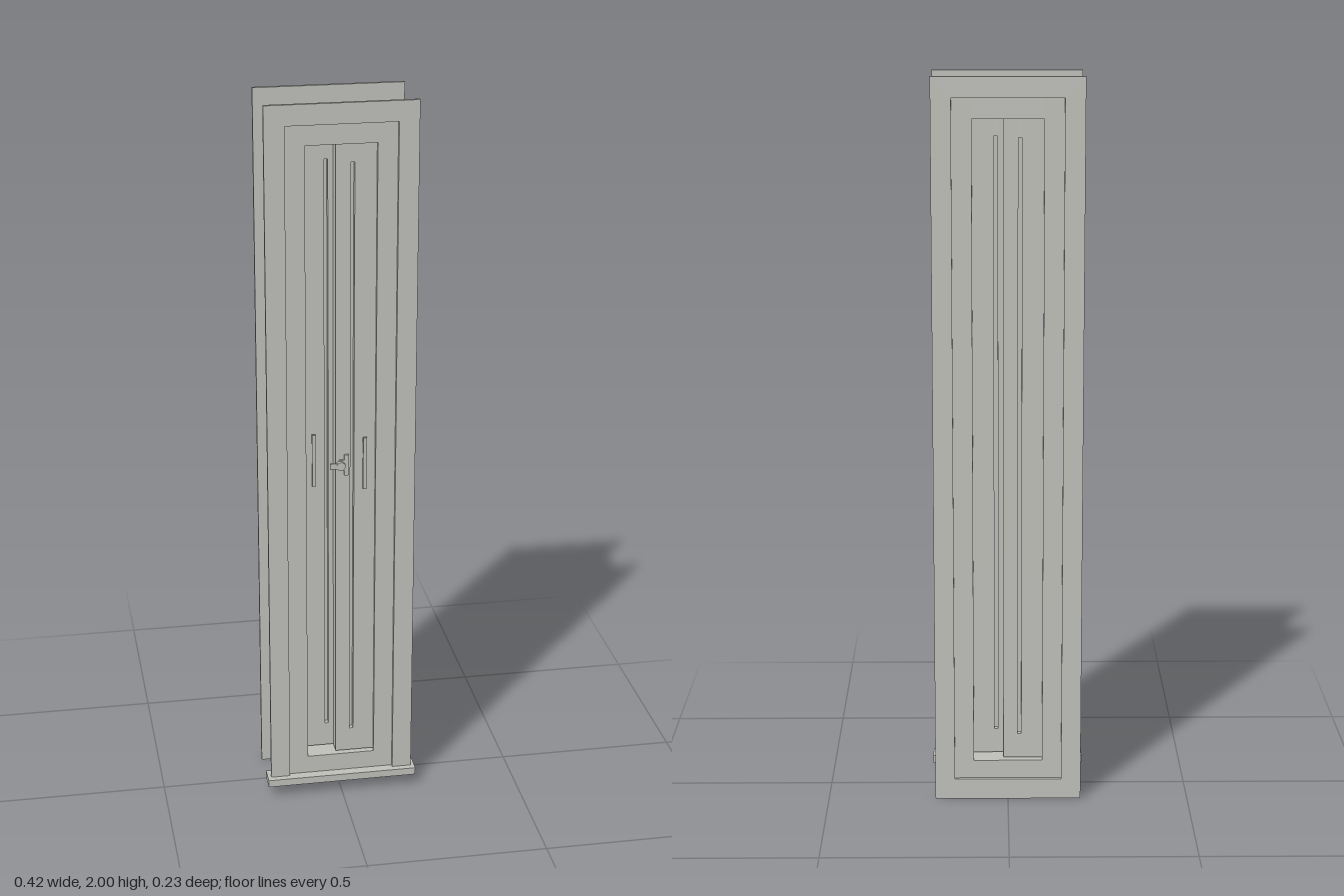
import * as THREE from 'three';

const paint = new THREE.MeshStandardMaterial({ color: 0xc0c0bb });
paint.name = 'warm grey';

// Box given by its minimum and maximum on each axis
function slab(name, [x0, x1], [y0, y1], [z0, z1]) {
  const mesh = new THREE.Mesh(new THREE.BoxGeometry(x1 - x0, y1 - y0, z1 - z0), paint);
  mesh.position.set((x0 + x1) / 2, (y0 + y1) / 2, (z0 + z1) / 2);
  mesh.name = name;
  return mesh;
}

// Flat trim board with mitred ends, drawn in the xy plane
function board(name, points, z, depth) {
  const shape = new THREE.Shape(points.map(([x, y]) => new THREE.Vector2(x, y)));
  const mesh = new THREE.Mesh(new THREE.ExtrudeGeometry(shape, { depth, bevelEnabled: false }), paint);
  mesh.position.z = z;
  mesh.name = name;
  return mesh;
}

// Casing around the opening; the bottom board is optional
function casing(name, z, bottom, hasBottom) {
  const group = new THREE.Group();
  group.name = name;
  const xo = 0.202, xi = 0.148, top = 2, ti = 1.945, bi = 0.058;
  const foot = hasBottom ? bi : bottom;
  for (const s of [-1, 1]) {
    group.add(board('sideBoard', [[s * xo, bottom], [s * xo, top], [s * xi, ti], [s * xi, foot]], z, 0.01));
  }
  group.add(board('topBoard', [[-xo, top], [xo, top], [xi, ti], [-xi, ti]], z, 0.01));
  if (hasBottom) group.add(board('bottomBoard', [[-xo, bottom], [xo, bottom], [xi, bi], [-xi, bi]], z, 0.01));
  return group;
}

// Sliding sash with a narrow pane; side is +1 for the left, -1 for the right
function sash(name, side, z0) {
  const group = new THREE.Group();
  group.name = name;
  const z = [z0, z0 + 0.04], y = [0.115, 1.888];
  const span = (a, b) => (side > 0 ? [a, b] : [-b, -a]);
  group.add(
    slab('meetingStile', span(-0.013, 0.027), y, z),
    slab('outerStile', span(0.037, 0.095), y, z),
    slab('bottomRail', span(0.027, 0.037), [0.115, 0.185], z),
    slab('topRail', span(0.027, 0.037), [1.84, 1.888], z),
    slab('pane', span(0.027, 0.037), [0.185, 1.84], [z0 + 0.016, z0 + 0.024])
  );
  return group;
}

// Upright pull handle on two short posts
function handle(x, z) {
  const group = new THREE.Group();
  group.name = 'handle';
  group.add(slab('grip', [x - 0.005, x + 0.005], [0.93, 1.08], [z + 0.007, z + 0.014]));
  for (const y of [0.937, 1.063]) {
    group.add(slab('post', [x - 0.004, x + 0.004], [y, y + 0.01], [z, z + 0.008]));
  }
  return group;
}

// Catch at the meeting stiles
function latch(z) {
  const group = new THREE.Group();
  group.name = 'latch';
  const pivot = new THREE.Mesh(new THREE.CylinderGeometry(0.012, 0.012, 0.012, 20), paint);
  pivot.rotation.x = Math.PI / 2;
  pivot.position.set(0, 1, z + 0.008);
  pivot.name = 'pivot';
  group.add(
    pivot,
    slab('plate', [-0.004, 0.022], [0.985, 1.015], [z, z + 0.005]),
    slab('lever', [-0.03, 0.008], [0.992, 1.008], [z + 0.006, z + 0.011])
  );
  for (const y of [0.97, 1.015]) group.add(slab('tab', [0.01, 0.023], [y, y + 0.015], [z, z + 0.005]));
  return group;
}

export function createModel() {
  const model = new THREE.Group();
  model.name = 'slidingWindow';

  // Deep box frame
  const depth = [-0.105, 0.085];
  for (const s of [-1, 1]) {
    model.add(slab('jamb', s < 0 ? [-0.148, -0.095] : [0.095, 0.148], [0.058, 1.945], depth));
  }
  model.add(
    slab('head', [-0.095, 0.095], [1.89, 1.945], depth),
    slab('frameBottom', [-0.095, 0.095], [0.058, 0.11], depth)
  );

  // Trim and sill
  model.add(
    casing('frontCasing', 0.085, 0.058, false),
    casing('backCasing', -0.115, 0, true),
    slab('sill', [-0.212, 0.212], [0.037, 0.058], [0.057, 0.113])
  );

  // Two pairs of sliding sashes, one behind the other
  model.add(
    sash('frontOuterSash', 1, 0.035),
    sash('frontInnerSash', -1, -0.005),
    sash('backInnerSash', 1, -0.055),
    sash('backOuterSash', -1, -0.095)
  );

  // Fittings
  model.add(handle(0.065, 0.075), handle(-0.068, 0.035), latch(0.075));
  return model;
}
